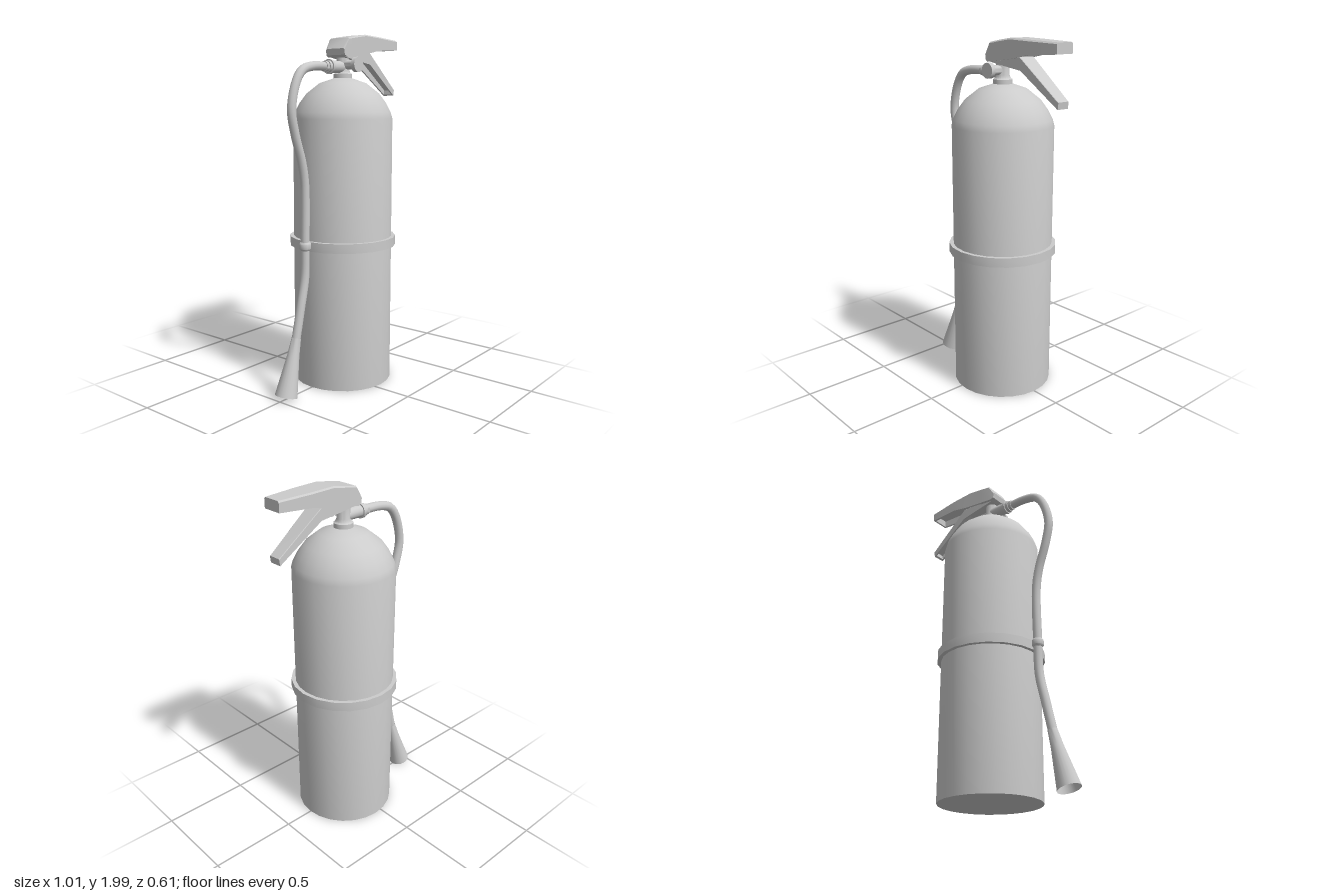
import * as THREE from 'three';
import { toCreasedNormals } from 'three/addons/utils/BufferGeometryUtils.js';

const TANK_X = 0.045;
const V = (x, y, z = 0) => new THREE.Vector3(x, y, z);

// Lofts a downward-opening channel through stations [xBottom, yBottom, xTop, yTop, halfWidth, depth];
// depth is the recess as a fraction of the height (0 = solid).
function channel(stations, wall, chamfer) {
  const rings = stations.map(([xb, yb, xt, yt, w, d]) => {
    const at = (z, f) => V(xb + (xt - xb) * f, yb + (yt - yb) * f, z);
    const c = 1 - chamfer / Math.hypot(xt - xb, yt - yb);
    const i = w - wall;
    return [at(w, 0), at(i, 0), at(i, d), at(-i, d), at(-i, 0), at(-w, 0),
      at(-w, c), at(chamfer - w, 1), at(w - chamfer, 1), at(w, c)];
  });
  const pos = [];
  const tri = (...pts) => pts.forEach((p) => pos.push(p.x, p.y, p.z));
  for (let s = 0; s + 1 < rings.length; s++) {
    const a = rings[s], b = rings[s + 1];
    a.forEach((p, i) => {
      const j = (i + 1) % a.length;
      tri(p, a[j], b[j]);
      tri(p, b[j], b[i]);
    });
  }
  const first = rings[0], last = rings[rings.length - 1];
  for (let i = 1; i + 1 < first.length; i++) {
    tri(first[0], first[i + 1], first[i]);
    tri(last[0], last[i], last[i + 1]);
  }
  const geo = new THREE.BufferGeometry();
  geo.setAttribute('position', new THREE.Float32BufferAttribute(pos, 3));
  return toCreasedNormals(geo, 0.4);
}

// Lathe from [radius, height] pairs with crisp steps
function lathe(profile, sides) {
  const geo = new THREE.LatheGeometry(profile.map(([r, y]) => new THREE.Vector2(r, y)), sides);
  return toCreasedNormals(geo, 0.7);
}

export function createModel() {
  const model = new THREE.Group();
  const grey = new THREE.MeshStandardMaterial({ color: 0xcccccc });
  const thin = new THREE.MeshStandardMaterial({ color: 0xcccccc, side: THREE.DoubleSide });
  const add = (name, geo, x = 0, y = 0, z = 0, material = grey) => {
    const mesh = new THREE.Mesh(geo, material);
    mesh.name = name;
    mesh.position.set(x, y, z);
    model.add(mesh);
    return mesh;
  };

  // Tank with domed shoulder
  add('tank', lathe([[0, 0.01], [0.283, 0.01], [0.283, 1.53], [0.273, 1.565], [0.247, 1.615],
    [0.208, 1.668], [0.133, 1.727], [0.05, 1.755], [0, 1.757]], 24), TANK_X);

  // Strap around the tank
  add('strap', lathe([[0.275, 0.805], [0.306, 0.805], [0.306, 0.858], [0.275, 0.858]], 20), TANK_X);

  // Valve: collar, stem and rounded body
  add('valve', lathe([[0, 1.74], [0.053, 1.74], [0.053, 1.778], [0.043, 1.784], [0.037, 1.8],
    [0.037, 1.885], [0, 1.885]], 20), TANK_X);

  // Gauge facing the front
  const gauge = add('gauge', lathe([[0, 0], [0.026, 0], [0.026, 0.088], [0.042, 0.088],
    [0.042, 0.113], [0, 0.113]], 20), TANK_X, 1.828);
  gauge.rotation.x = Math.PI / 2;

  // Hose fitting on the right of the valve
  const fitting = add('hoseFitting', lathe([[0, -0.045], [0.034, -0.045], [0.034, 0.068], [0.041, 0.068],
    [0.041, 0.083], [0.034, 0.083], [0.034, 0.102], [0.029, 0.102], [0.029, 0.122], [0, 0.122]], 20), 0, 1.815);
  fitting.rotation.z = Math.PI / 2;

  // Hose
  const path = new THREE.CatmullRomCurve3([V(-0.08, 1.815), V(-0.22, 1.812), V(-0.3, 1.788), V(-0.35, 1.72),
    V(-0.384, 1.58), V(-0.358, 1.45), V(-0.307, 1.3), V(-0.285, 1.18), V(-0.285, 0.85),
    V(-0.29, 0.66), V(-0.325, 0.5), V(-0.367, 0.32)]);
  add('hose', new THREE.TubeGeometry(path, 64, 0.025, 12));

  // Flared open nozzle at the end of the hose
  const from = V(-0.363, 0.335), to = V(-0.45, 0.025);
  const axis = to.clone().sub(from);
  const length = axis.length();
  const nozzle = add('nozzle', lathe([[0.026, 0], [0.034, length * 0.3], [0.063, length]], 20),
    from.x, from.y, 0, thin);
  nozzle.quaternion.setFromUnitVectors(V(0, 1), axis.normalize());

  // Clip holding the hose to the strap
  add('hoseClip', lathe([[0, 0.815], [0.026, 0.815], [0.033, 0.825], [0.033, 0.852], [0.026, 0.862],
    [0, 0.862]], 16), -0.285);
  add('clipBridge', new THREE.BoxGeometry(0.03, 0.03, 0.03), -0.25, 0.838);

  // Fixed carrying handle, hollow underneath
  add('carryHandle', channel([
    [-0.02, 1.88, -0.025, 1.915, 0.066, 0],
    [0, 1.87, 0.015, 1.975, 0.07, 0],
    [0.09, 1.882, 0.09, 1.988, 0.07, 0],
    [0.09, 1.882, 0.09, 1.988, 0.07, 0.7],
    [0.2, 1.897, 0.17, 2.0, 0.07, 0.7],
    [0.31, 1.92, 0.31, 1.995, 0.07, 0.7],
    [0.488, 1.929, 0.488, 1.988, 0.057, 0.7],
    [0.488, 1.929, 0.488, 1.988, 0.057, 0],
    [0.5, 1.93, 0.5, 1.987, 0.056, 0],
  ], 0.012, 0.008));

  // Squeeze lever, hollow underneath
  add('squeezeLever', channel([
    [0.0, 1.87, 0.0, 1.885, 0.053, 0],
    [0.1, 1.855, 0.1, 1.895, 0.053, 0],
    [0.1, 1.855, 0.1, 1.895, 0.053, 0.7],
    [0.235, 1.836, 0.23, 1.905, 0.05, 0.75],
    [0.485, 1.667, 0.49, 1.704, 0.038, 0.7],
    [0.485, 1.667, 0.49, 1.704, 0.038, 0],
    [0.495, 1.66, 0.5, 1.697, 0.037, 0],
  ], 0.01, 0.003));

  return model;
}
